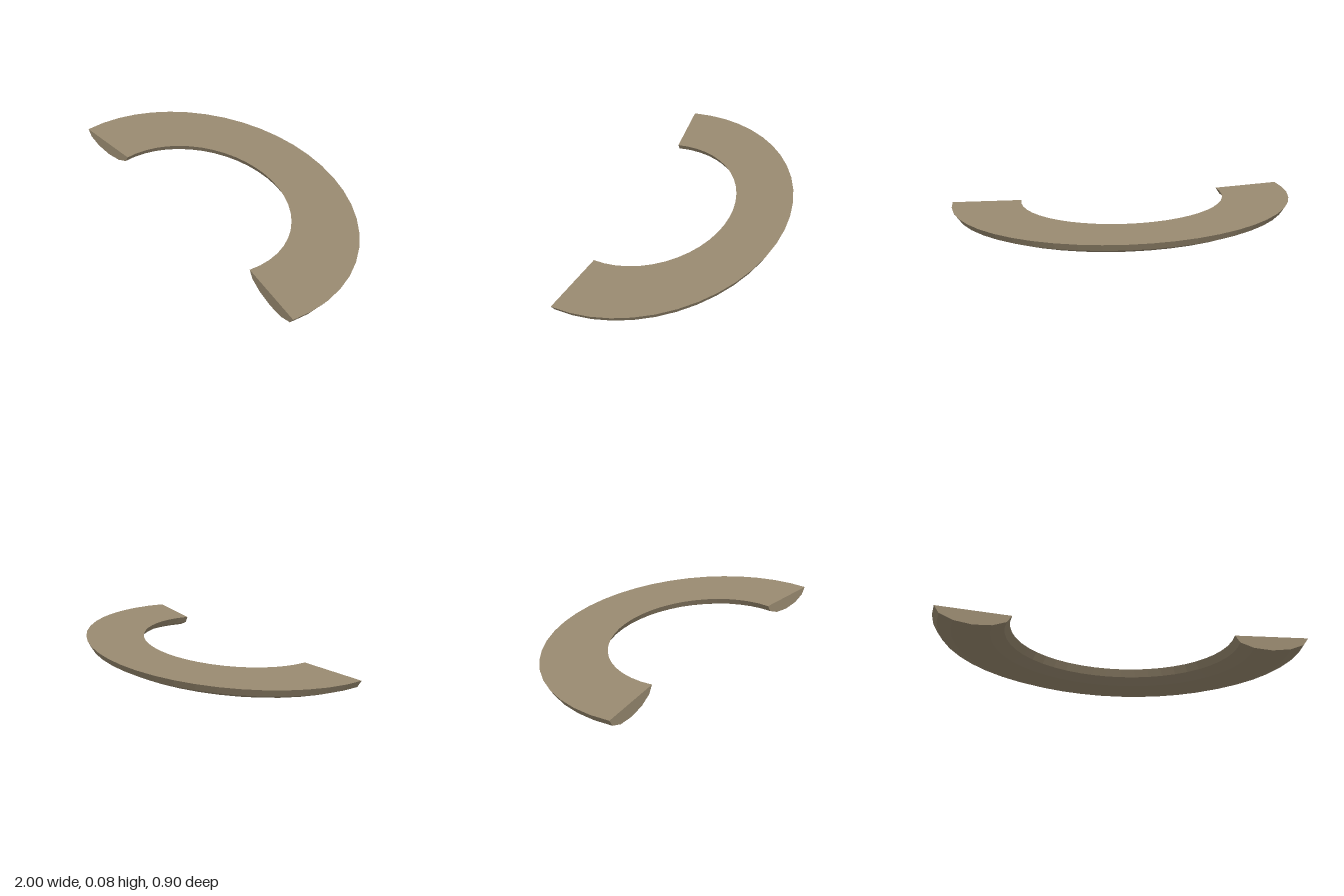
import * as THREE from 'three';

const SWEEP = 3.4;          // angle of the arc in radians
const START = Math.PI - SWEEP / 2;
const SEGMENTS = 26;
const DEPTH = 0.8;          // the arc is squashed front to back
const CENTRE_Z = 0.3485;

export function createModel() {
  const group = new THREE.Group();
  group.name = 'curvedArch';
  const stone = new THREE.MeshStandardMaterial({ color: 0x9a8b71 });
  stone.name = 'warm taupe';

  // Cross-section: flat top, rounded underside
  const profile = [];
  for (let i = 0; i <= 6; i++) {
    const a = (i / 6) * Math.PI;
    profile.push(new THREE.Vector2(0.8 - 0.2 * Math.cos(a), 0.08 - 0.08 * Math.sin(a)));
  }

  // Squash, place and facet each part
  const add = (geometry, name) => {
    geometry.scale(1, 1, DEPTH).translate(0, 0, CENTRE_Z);
    const faceted = geometry.toNonIndexed();
    faceted.computeVertexNormals();
    const mesh = new THREE.Mesh(faceted, stone);
    mesh.name = name;
    group.add(mesh);
  };

  // Swept body, closed along its flat top
  add(new THREE.LatheGeometry([...profile, profile[0].clone()], SEGMENTS, START, SWEEP), 'arcBody');

  // Flat cut ends
  add(new THREE.ShapeGeometry(new THREE.Shape(profile)).rotateY(START - Math.PI / 2), 'leftEnd');
  const mirrored = profile.map((p) => new THREE.Vector2(-p.x, p.y));
  add(new THREE.ShapeGeometry(new THREE.Shape(mirrored)).rotateY(START + SWEEP + Math.PI / 2), 'rightEnd');

  return group;
}
